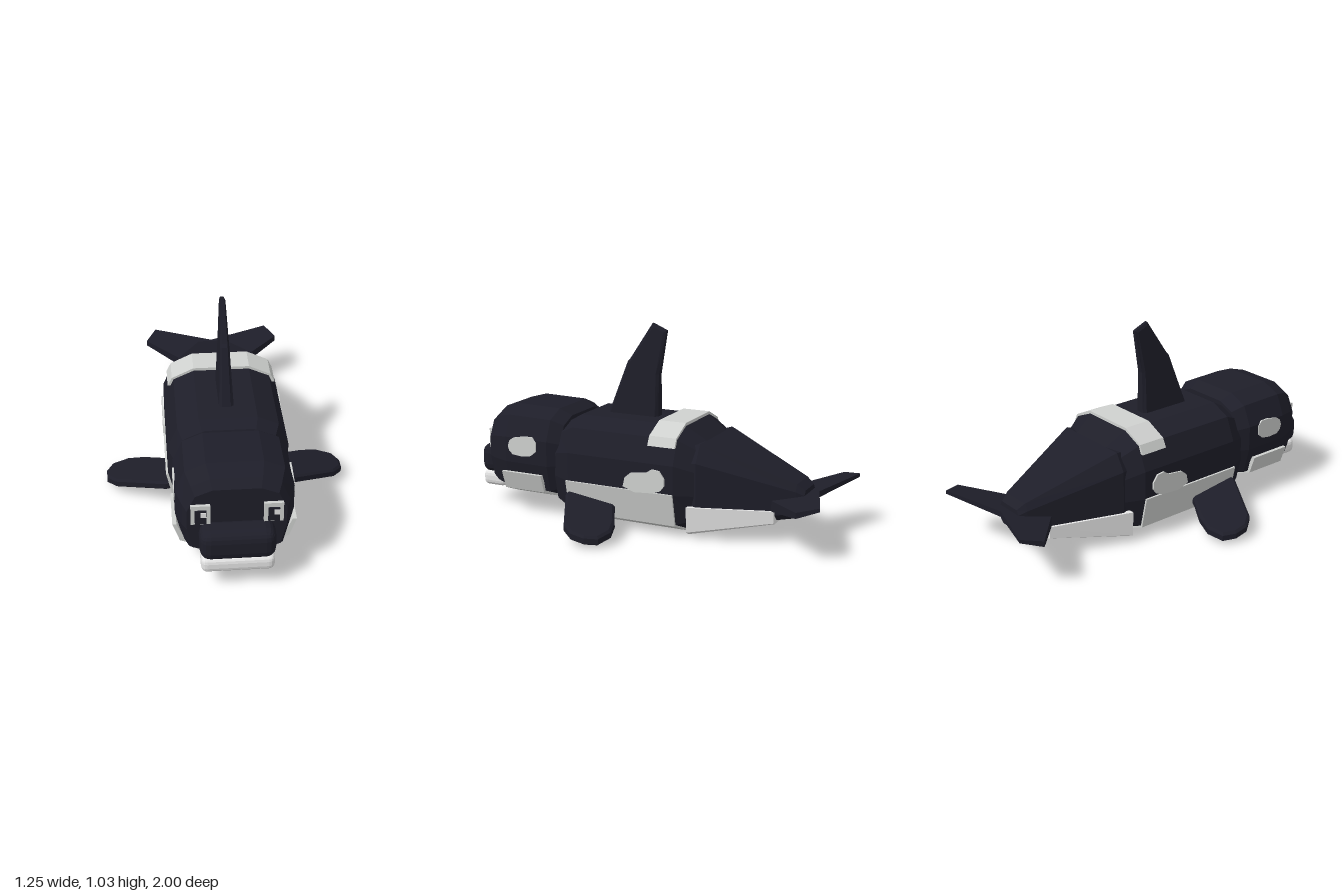
import * as THREE from 'three';
import { RoundedBoxGeometry } from 'three/addons/geometries/RoundedBoxGeometry.js';

const material = (name, color) => Object.assign(new THREE.MeshStandardMaterial({ color }), { name });

// Split faces so every facet is shaded flat
function flat(geometry) {
  const g = geometry.index ? geometry.toNonIndexed() : geometry;
  g.computeVertexNormals();
  return g;
}

// Right half of a cross-section, bottom to top, as [share of half width, share of height]
const ROUND = [[0.46, 0], [0.88, 0.1], [1, 0.4], [1, 0.68], [0.83, 0.91], [0.48, 1]];
const TAIL = [[0.75, 0], [1, 0.15], [1, 0.8], [0.8, 1]];
const TROUGH = [[0.86, 0], [0.98, 0.12], [1, 1]];

// Closed hull through sections [z, half width, bottom, top], listed from front to back
function loft(profile, sections) {
  const ring = [...profile, ...profile.map(([x, y]) => [-x, y]).reverse()];
  const n = ring.length;
  const pos = [], idx = [];
  for (const [z, w, y0, y1] of sections)
    for (const [x, y] of ring) pos.push(x * w, y0 + y * (y1 - y0), z);
  for (let s = 0; s < sections.length - 1; s++)
    for (let i = 0; i < n; i++) {
      const a = s * n + i, b = s * n + (i + 1) % n;
      idx.push(a, a + n, b, b, a + n, b + n);
    }
  const last = (sections.length - 1) * n;
  for (let i = 1; i < n - 1; i++) idx.push(0, i, i + 1, last, last + i + 1, last + i);
  const g = new THREE.BufferGeometry();
  g.setAttribute('position', new THREE.Float32BufferAttribute(pos, 3));
  g.setIndex(idx);
  return flat(g);
}

const shapeOf = (points) => new THREE.Shape(points.map(([x, y]) => new THREE.Vector2(x, y)));

// Bent plate wrapped over the hull; half outline runs from the rim to the middle
function shell(half, thickness, up, z0, z1) {
  const outer = [...half, ...half.map(([x, y]) => [-x, y]).reverse()];
  const rimY = half[0][1];
  const inner = outer.map(([x, y]) => [x - Math.sign(x) * thickness, y === rimY ? y : y + up * thickness]).reverse();
  const g = new THREE.ExtrudeGeometry(shapeOf([...outer, ...inner]), { depth: z1 - z0, bevelEnabled: false });
  return g.translate(0, 0, z0);
}

// Plate drawn in [z, y], thickness along x
function sidePlate(points, options) {
  const g = new THREE.ExtrudeGeometry(shapeOf(points.map(([z, y]) => [-z, y])), options);
  return g.rotateY(Math.PI / 2);
}

// Plate drawn in [x, z], thickness along y
function flatPlate(points, options) {
  const g = new THREE.ExtrudeGeometry(shapeOf(points.map(([x, z]) => [x, -z])), options);
  return g.rotateX(-Math.PI / 2);
}

// Move every vertex by a rule
function warp(g, rule) {
  const p = g.attributes.position, v = new THREE.Vector3();
  for (let i = 0; i < p.count; i++) {
    rule(v.fromBufferAttribute(p, i));
    p.setXYZ(i, v.x, v.y, v.z);
  }
  return flat(g);
}

export function createModel() {
  const model = new THREE.Group();
  model.name = 'whale';
  const dark = material('dark skin', 0x1e1e29);
  const grey = material('pale grey', 0xcfd1cf);
  const white = material('white', 0xe6e6e6);

  function add(name, geometry, mat, mirrored = false) {
    const mesh = new THREE.Mesh(geometry, mat);
    mesh.name = name;
    if (mirrored) mesh.scale.x = -1;
    model.add(mesh);
  }
  function addPair(name, geometry, mat) {
    add('left ' + name, geometry, mat);
    add('right ' + name, geometry, mat, true);
  }
  const box = (w, h, d, x, y, z) => new THREE.BoxGeometry(w, h, d).translate(x, y, z);

  // Hull
  add('head', loft(ROUND, [
    [0.89, 0.235, 0.14, 0.51], [0.85, 0.255, 0.11, 0.545], [0.76, 0.285, 0.09, 0.57],
    [0.51, 0.285, 0.09, 0.565], [0.445, 0.25, 0.12, 0.53],
  ]), dark);
  add('body', loft(ROUND, [
    [0.475, 0.26, 0.06, 0.49], [0.37, 0.305, 0.01, 0.55],
    [-0.23, 0.305, 0.01, 0.55], [-0.335, 0.255, 0.05, 0.48],
  ]), dark);
  add('tail', loft(TAIL, [
    [-0.3, 0.25, 0.06, 0.47], [-0.335, 0.263, 0.045, 0.48],
    [-0.8, 0.1, 0.125, 0.3], [-0.84, 0.08, 0.15, 0.27],
  ]), dark);

  // Pale underside and saddle
  add('chin plate', shell([[0.3, 0.23], [0.265, 0.13], [0.138, 0.08]], 0.02, 1, 0.54, 0.78), grey);
  add('belly plate', shell([[0.316, 0.23], [0.278, 0.058], [0.146, 0]], 0.013, 1, -0.23, 0.38), grey);
  add('saddle', shell([[0.285, 0.463], [0.262, 0.51], [0.147, 0.565]], 0.018, -1, -0.23, -0.08), grey);
  add('tail belly', loft(TROUGH, [[-0.295, 0.29, 0.02, 0.17], [-0.705, 0.147, 0.095, 0.165]]), white);

  // Side patches
  const plate = { depth: 0.009, bevelEnabled: false };
  addPair('head patch', sidePlate([
    [0.745, 0.37], [0.735, 0.4], [0.71, 0.418], [0.64, 0.43], [0.595, 0.43], [0.572, 0.405],
    [0.572, 0.355], [0.605, 0.328], [0.66, 0.32], [0.715, 0.325], [0.738, 0.345],
  ], plate).translate(0.28, 0, 0), grey);
  addPair('flank patch', sidePlate([
    [0.043, 0.245], [0.032, 0.293], [0, 0.32], [-0.085, 0.33], [-0.118, 0.352], [-0.16, 0.347],
    [-0.187, 0.31], [-0.187, 0.272], [-0.166, 0.245], [-0.123, 0.229], [-0.02, 0.222],
  ], plate).translate(0.309, 0, 0), grey);

  // Snout and lower jaw
  add('snout', flat(new RoundedBoxGeometry(0.36, 0.16, 0.15, 2, 0.05).translate(0, 0.246, 0.925)), dark);
  add('lower jaw', flat(new RoundedBoxGeometry(0.35, 0.085, 0.145, 2, 0.03).translate(0, 0.137, 0.918)), white);

  // Eyes, with the glint on the same side of both
  for (const [side, sign] of [['left', 1], ['right', -1]]) {
    const x = 0.171 * sign;
    add(side + ' eye', box(0.092, 0.105, 0.03, x, 0.38, 0.891), grey);
    add(side + ' pupil', box(0.054, 0.075, 0.008, x, 0.372, 0.909), dark);
    add(side + ' glint', box(0.026, 0.026, 0.006, x + 0.013, 0.387, 0.914), white);
  }

  // Dorsal fin, thinner towards the tip
  const dorsal = sidePlate([
    [0.28, 0.53], [0.165, 0.83], [0.15, 0.845], [0.025, 1.035], [-0.055, 1.0], [-0.015, 0.77], [-0.015, 0.53],
  ], { depth: 1.2, bevelThickness: 0.4, bevelSize: 0.015, bevelOffset: -0.015, bevelSegments: 1 });
  add('dorsal fin', warp(dorsal, (v) => {
    v.x = (v.x - 0.6) * THREE.MathUtils.mapLinear(v.y, 0.55, 1.03, 0.037, 0.013);
  }), dark);

  // Side flippers, sloping down outwards and pitched down to the back
  const flipper = flatPlate([
    [0.25, 0.12], [0.32, 0.09], [0.42, 0.035], [0.51, 0.01], [0.595, 0.035], [0.625, 0.1],
    [0.622, 0.175], [0.575, 0.24], [0.32, 0.375], [0.25, 0.375],
  ], { depth: 0.028, bevelThickness: 0.01, bevelSize: 0.012, bevelOffset: -0.012, bevelSegments: 1 });
  addPair('flipper', warp(flipper, (v) => {
    v.y += 0.09 - 0.2 * (v.x - 0.3) + 0.16 * (v.z - 0.09);
  }), dark);

  // Tail flukes, rising and thinning to the back
  const fluke = flatPlate([
    [0, -0.66], [0.14, -0.69], [0.385, -0.9], [0.33, -1], [0, -0.89],
  ], { depth: 1, bevelEnabled: false });
  addPair('fluke', warp(fluke, (v) => {
    const back = -0.69 - v.z;
    v.y = 0.19 + back * 0.25 + (v.y - 0.5) * (0.055 - back * 0.12);
  }), dark);

  return model;
}
